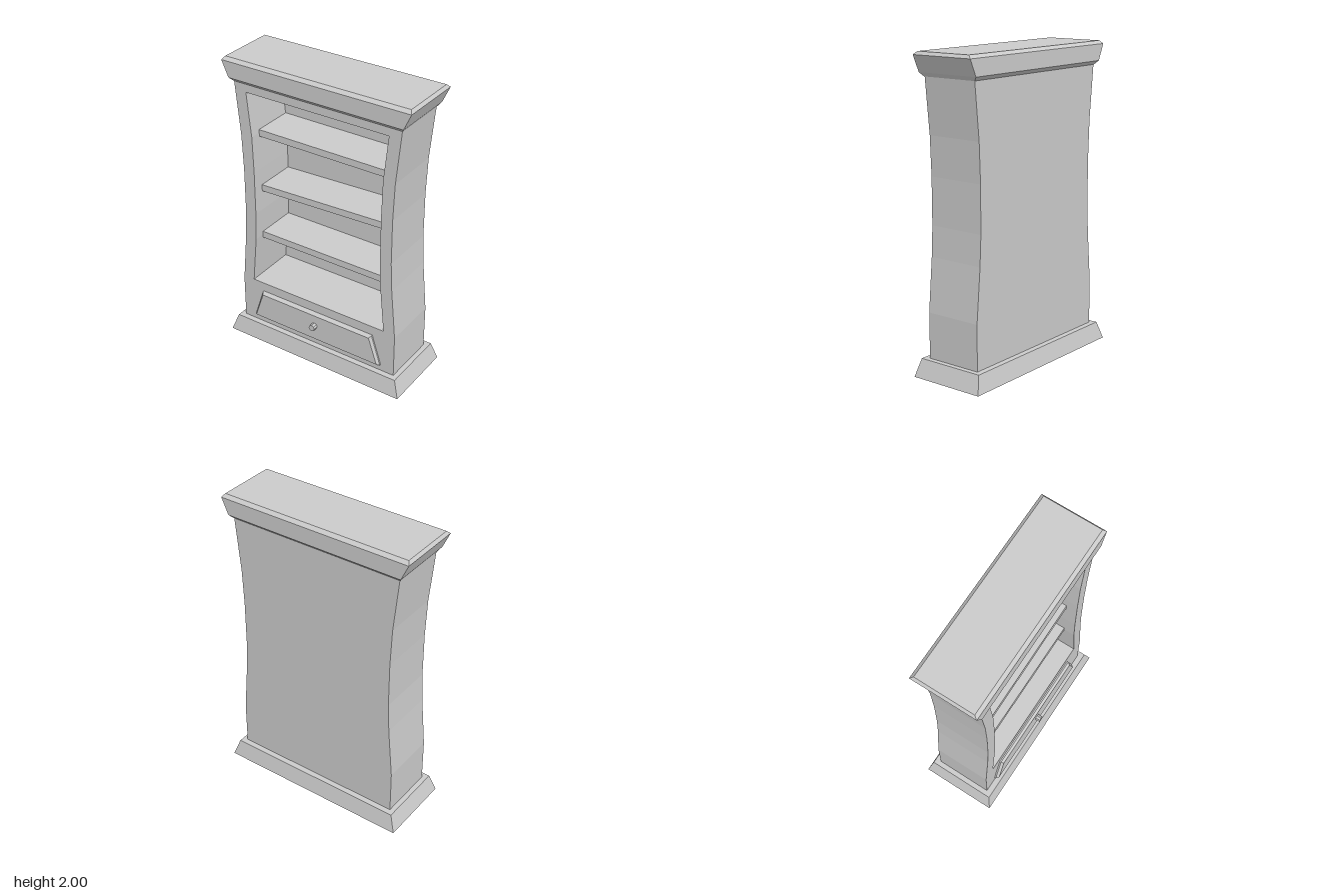
import * as THREE from 'three';

const material = new THREE.MeshStandardMaterial({ color: 0xcccccc, flatShading: true });

function add(parent, name, geometry, x = 0, y = 0, z = 0) {
  const mesh = new THREE.Mesh(geometry, material);
  mesh.name = name;
  mesh.position.set(x, y, z);
  parent.add(mesh);
  return mesh;
}

// Closed solid through a stack of four-cornered rings, each listed
// anticlockwise when seen from the end of the stack.
function loft(rings) {
  const pos = [];
  const quad = (a, b, c, d) => pos.push(...a, ...b, ...c, ...a, ...c, ...d);
  for (let i = 0; i < rings.length - 1; i++) {
    for (let k = 0; k < 4; k++) {
      const n = (k + 1) % 4;
      quad(rings[i][k], rings[i][n], rings[i + 1][n], rings[i + 1][k]);
    }
  }
  const first = rings[0], last = rings[rings.length - 1];
  quad(first[3], first[2], first[1], first[0]);
  quad(...last);
  const geometry = new THREE.BufferGeometry();
  geometry.setAttribute('position', new THREE.Float32BufferAttribute(pos, 3));
  geometry.computeVertexNormals();
  return geometry;
}

// Horizontal rectangle: height, half width, half depth
const level = ([y, w, d]) => [[-w, y, d], [w, y, d], [w, y, -d], [-w, y, -d]];

// Upright trapezoid: depth, bottom and top height, bottom and top half width
const upright = ([z, y0, y1, w0, w1]) => [[-w0, y0, z], [w0, y0, z], [w1, y1, z], [-w1, y1, z]];

// Mirrored outline from [half width, height] pairs
function outline(side, Type = THREE.Shape) {
  const right = side.map(([w, y]) => new THREE.Vector2(w, y));
  const left = side.map(([w, y]) => new THREE.Vector2(-w, y)).reverse();
  return new Type([...right, ...left]);
}

export function createModel() {
  const model = new THREE.Group();
  model.name = 'bookcase';

  // Waisted case with an open front
  const caseSide = [[0.587, 0.1], [0.587, 0.41], [0.556, 0.755], [0.546, 0.95],
    [0.546, 1.25], [0.556, 1.5], [0.592, 1.86]];
  const openingSide = [[0.505, 0.43], [0.474, 0.755], [0.467, 0.95],
    [0.467, 1.25], [0.474, 1.5], [0.505, 1.795]];
  const frame = outline(caseSide);
  frame.holes.push(outline(openingSide, THREE.Path));
  const backZ = -0.165;
  add(model, 'caseFrame', new THREE.ExtrudeGeometry(frame,
    { depth: 0.19 - backZ, bevelEnabled: false }), 0, 0, backZ);
  add(model, 'backPanel', new THREE.ExtrudeGeometry(outline(caseSide),
    { depth: backZ + 0.19, bevelEnabled: false }), 0, 0, -0.19);

  // Splayed plinth and flared crown
  add(model, 'plinth', loft([[0, 0.66, 0.255], [0.115, 0.62, 0.228]].map(level)));
  add(model, 'crown', loft([[1.85, 0.594, 0.192], [1.875, 0.612, 0.217],
    [1.98, 0.66, 0.217], [2, 0.645, 0.195]].map(level)));

  // Shelves, the middle one askew
  const shelves = [[0.755, 0], [1.125, 0.037], [1.498, 0]];
  for (const [y, tilt] of shelves) {
    const width = tilt ? 0.936 : 0.95;
    const shelf = add(model, 'shelf', new THREE.BoxGeometry(width, 0.046, 0.28), 0, y, -0.025);
    shelf.rotation.z = tilt;
  }

  // Drawer front with a bevelled rim, and its knob
  const drawer = new THREE.Group();
  drawer.name = 'drawer';
  add(drawer, 'drawerFront', loft([[0.18, 0.16, 0.366, 0.492, 0.425],
    [0.2, 0.16, 0.366, 0.492, 0.425], [0.217, 0.17, 0.353, 0.476, 0.414]].map(upright)));
  const knob = add(drawer, 'drawerKnob',
    new THREE.CylinderGeometry(0.022, 0.022, 0.04, 8), 0, 0.275, 0.23);
  knob.rotation.x = Math.PI / 2;
  model.add(drawer);

  return model;
}
